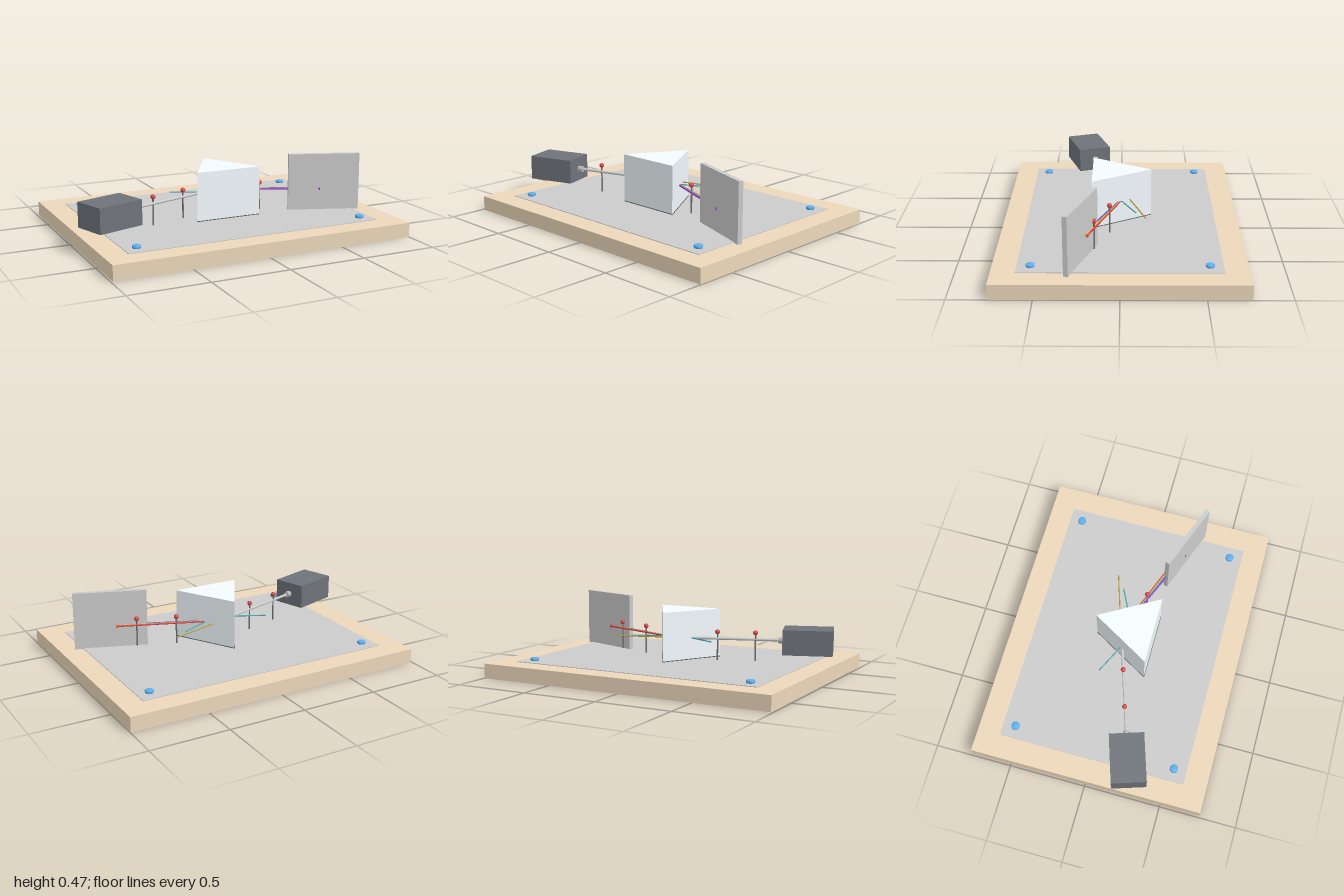
import * as THREE from 'three';

const mat = (color) => new THREE.MeshStandardMaterial({ color });
const RAY_Y = 0.24;
const BOARD_TOP = 0.095;

export function createModel() {
  const root = new THREE.Group();

  const add = (name, geometry, material, x, y, z, yaw = 0) => {
    const mesh = new THREE.Mesh(geometry, material);
    mesh.name = name;
    mesh.position.set(x, y, z);
    mesh.rotation.y = yaw;
    root.add(mesh);
    return mesh;
  };

  // Thin rod between two [x, z] points at a given height
  const rod = (name, a, b, radius, material, y = RAY_Y) => {
    const from = new THREE.Vector3(a[0], y, a[1]);
    const to = new THREE.Vector3(b[0], y, b[1]);
    const dir = to.clone().sub(from);
    const mesh = new THREE.Mesh(new THREE.CylinderGeometry(radius, radius, dir.length(), 12), material);
    mesh.name = name;
    mesh.position.copy(from).lerp(to, 0.5);
    mesh.quaternion.setFromUnitVectors(new THREE.Vector3(0, 1, 0), dir.normalize());
    root.add(mesh);
    return mesh;
  };

  // Drawing board and paper
  add('board', new THREE.BoxGeometry(1.985, BOARD_TOP, 1.52), mat(0xecd7ba), 0.005, BOARD_TOP / 2, 0);
  add('paper', new THREE.BoxGeometry(1.69, 0.004, 1.225), mat(0xcccccc), 0.005, BOARD_TOP + 0.002, 0);

  // Thumbtacks at the paper corners
  const tackMat = mat(0x5cb0ee);
  const tackProfile = [[0, 0], [0.024, 0], [0.027, 0.005], [0.027, 0.016], [0.022, 0.02], [0, 0.021]]
    .map(([r, y]) => new THREE.Vector2(r, y));
  for (const x of [-0.76, 0.77]) for (const z of [-0.53, 0.53]) {
    add('thumbtack', new THREE.LatheGeometry(tackProfile, 20), tackMat, x, BOARD_TOP + 0.003, z);
  }

  // Triangular glass prism, extruded upwards
  const corners = [[0.005, -0.197], [-0.215, 0.183], [0.225, 0.183]];
  const triangle = new THREE.Shape(corners.map(([x, z]) => new THREE.Vector2(x, -z)));
  const prismGeo = new THREE.ExtrudeGeometry(triangle, { depth: 0.318, bevelEnabled: false });
  prismGeo.rotateX(-Math.PI / 2);
  add('prism', prismGeo, mat(0xf4fbff), 0, 0.1, 0);

  // Pencil outline around the prism foot
  corners.forEach((c, i) => rod('prismOutline', c, corners[(i + 1) % 3], 0.003, mat(0x555a60), 0.101));

  // Lamp housing with nozzle and the incoming beam
  add('lampHousing', new THREE.BoxGeometry(0.315, 0.16, 0.222), mat(0x6e737a), -0.815, RAY_Y, 0.238, 0.314);
  rod('lampNozzle', [-0.668, 0.19], [-0.635, 0.179], 0.021, mat(0xb8b8b8));
  rod('incidentBeam', [-0.65, 0.184], [-0.105, 0.006], 0.009, mat(0xcccccc));

  // Sighting pins along the light path
  const headMat = mat(0xd94848);
  const stemMat = mat(0x707070);
  for (const [x, z] of [[-0.495, 0.13], [-0.26, 0.055], [0.285, 0.07], [0.525, 0.16]]) {
    add('pinStem', new THREE.CylinderGeometry(0.005, 0.005, 0.185, 10), stemMat, x, 0.1875, z);
    add('pinHead', new THREE.SphereGeometry(0.016, 16, 12), headMat, x, 0.283, z);
  }

  // Surface normals and the undeviated continuation of the beam
  const normalMat = mat(0x48a8b0);
  for (const s of [-1, 1]) rod('normalLine', [0.005 + s * 0.11, -0.007], [0.005 + s * 0.295, -0.096], 0.004, normalMat);
  rod('undeviatedLine', [0.07, -0.055], [0.385, -0.156], 0.004, mat(0xb8a040));

  // Screen
  add('screen', new THREE.BoxGeometry(0.47, 0.378, 0.03), mat(0xcccccc), 0.675, 0.284, 0.235, -0.349);

  // Dispersed rays, each ending in a small spot
  const spectrum = [0xe03c3c, 0xe8873a, 0xe0d040, 0x48b858, 0x4080e0, 0x5048c0, 0xa040d0];
  spectrum.forEach((color, i) => {
    const t = i / (spectrum.length - 1);
    const start = [0.118, 0.003 + 0.01 * t];
    const end = [0.648, 0.2 + 0.037 * t];
    const m = mat(color);
    rod('spectrumRay', start, end, 0.005, m);
    rod('spectrumSpot', [end[0] - 0.006, end[1] - 0.002], [end[0], end[1]], 0.011, m);
  });

  return root;
}
